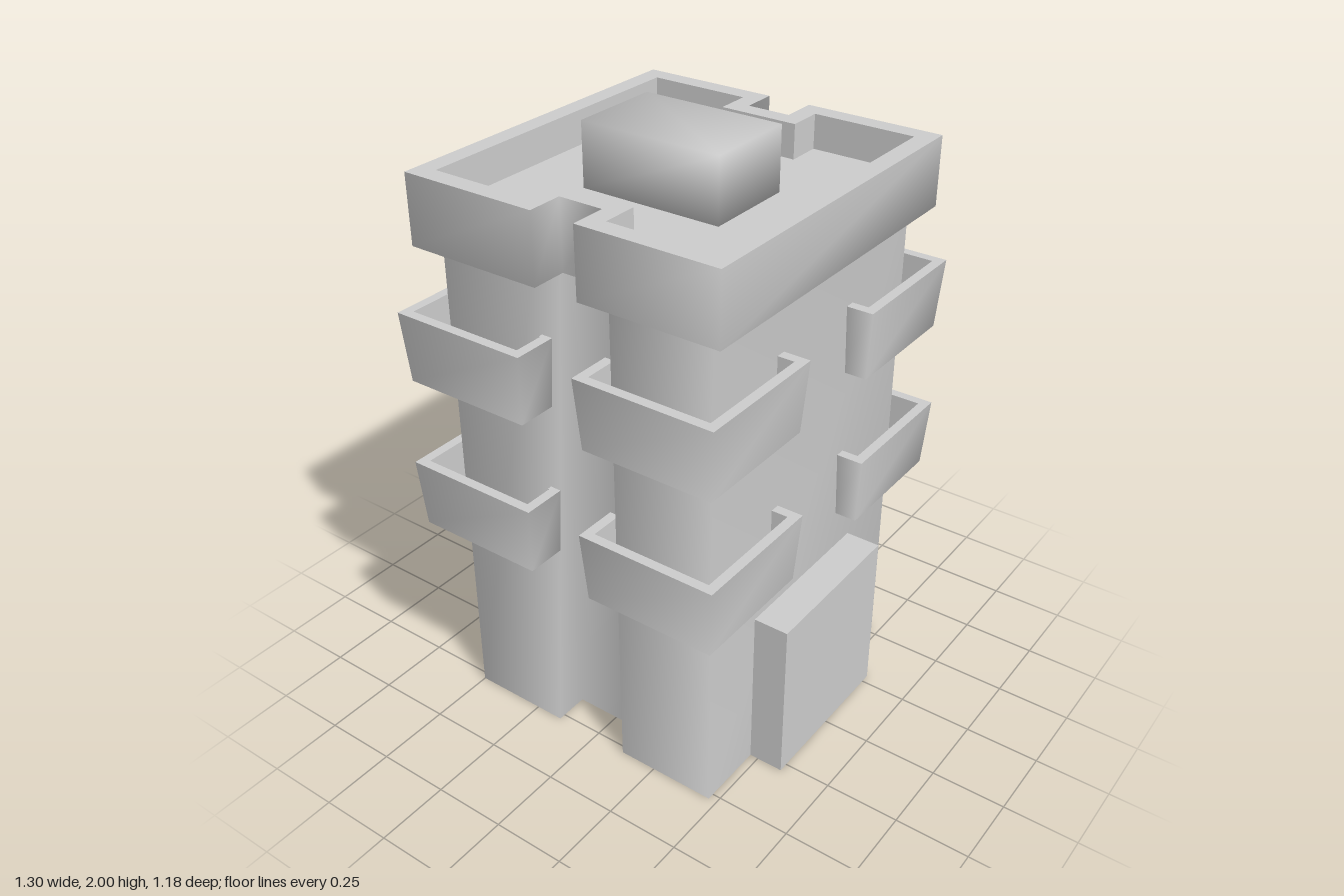
import * as THREE from 'three';
import { mergeVertices } from 'three/addons/utils/BufferGeometryUtils.js';

const material = new THREE.MeshStandardMaterial({ color: 0xcccccc });

// Outlines are [x, z] lists, put in anticlockwise order as seen from above
function ordered(outline) {
  const pts = outline.map(([x, z]) => new THREE.Vector2(x, -z));
  return THREE.ShapeUtils.area(pts) < 0 ? outline.slice().reverse() : outline;
}

// Walls running through rings of [outline, y]; listing them downwards faces the walls inward
function walls(name, rings, smooth = true) {
  const n = rings[0][0].length, pos = [], index = [];
  rings.forEach(([outline, y]) => ordered(outline).forEach(([x, z]) => pos.push(x, y, z)));
  for (let r = 0; r < rings.length - 1; r++) {
    for (let i = 0; i < n; i++) {
      const a = r * n + i, b = r * n + (i + 1) % n;
      index.push(a, b, b + n, a, b + n, a + n);
    }
  }
  let geo = new THREE.BufferGeometry();
  geo.setAttribute('position', new THREE.Float32BufferAttribute(pos, 3));
  geo.setIndex(index);
  if (!smooth) geo = geo.toNonIndexed();
  geo.computeVertexNormals();
  return named(name, geo);
}

// Flat horizontal face, with an optional hole
function cap(name, outline, y, up = true, hole = null) {
  const s = up ? -1 : 1;
  const toPoints = (o) => o.map(([x, z]) => new THREE.Vector2(x, s * z));
  const shape = new THREE.Shape(toPoints(outline));
  if (hole) shape.holes.push(new THREE.Path(toPoints(hole)));
  const geo = new THREE.ShapeGeometry(shape);
  geo.rotateX(s * Math.PI / 2);
  geo.translate(0, y, 0);
  return named(name, geo);
}

function named(name, geo) {
  const mesh = new THREE.Mesh(geo, material);
  mesh.name = name;
  return mesh;
}

// Rectangle with a notch in the middle of each side face
function notched(hx, hz, notchX, notchZ) {
  return [
    [-hx, hz], [hx, hz], [hx, notchZ], [notchX, notchZ], [notchX, -notchZ], [hx, -notchZ],
    [hx, -hz], [-hx, -hz], [-hx, -notchZ], [-notchX, -notchZ], [-notchX, notchZ], [-hx, notchZ],
  ];
}

// L-shaped footprint wrapping one corner; inset moves the outer sides inward
function cornerOutline(sx, sz, inset, backX, backZ) {
  const x0 = 0.175 + inset, x1 = 0.648 - inset, z0 = 0.098 + inset, z1 = 0.575 - inset;
  return [[x0, backZ], [x0, z1], [x1, z1], [x1, z0], [backX, z0], [backX, backZ]]
    .map(([x, z]) => [sx * x, sz * z]);
}

// Flared, open-topped balcony on one corner
function balcony(sx, sz, y0) {
  const group = new THREE.Group();
  group.name = 'cornerBalcony';
  const y1 = y0 + 0.235, floor = y0 + 0.1;
  const top = cornerOutline(sx, sz, 0, 0.5, 0.46);
  const bottom = cornerOutline(sx, sz, 0.015, 0.5, 0.46);
  const inner = cornerOutline(sx, sz, 0.033, 0.515, 0.475);
  group.add(
    walls('balconyOuterWall', [[bottom, y0], [top, y1]]),
    walls('balconyInnerWall', [[inner, y1], [inner, floor]], false),
    cap('balconyRim', top, y1, true, inner),
    cap('balconyFloor', inner, floor),
    cap('balconyUnderside', bottom, y0, false),
  );
  return group;
}

export function createModel() {
  const model = new THREE.Group();
  model.name = 'tower';

  const tower = new THREE.Group();
  tower.name = 'towerBody';
  tower.position.z = -0.015;
  model.add(tower);

  // Shaft and overhanging crown in one softly shaded shell
  const shaft = notched(0.523, 0.486, 0.405, 0.136);
  const crown = notched(0.585, 0.549, 0.465, 0.075);
  const shoulder = 1.675, rim = 1.905, roof = 1.79;
  tower.add(
    walls('towerShell', [[shaft, 0], [shaft, shoulder], [crown, shoulder], [crown, rim]]),
    cap('base', shaft, 0, false),
    cap('crownRim', crown, rim, true, shaft),
    walls('parapetInnerWall', [[shaft, rim], [shaft, roof]], false),
    cap('roof', shaft, roof),
  );

  // Rooftop block with blended normals
  let block = new THREE.BoxGeometry(0.316, 2 - roof, 0.49);
  block.deleteAttribute('normal');
  block.deleteAttribute('uv');
  block = mergeVertices(block);
  block.computeVertexNormals();
  block.translate(-0.003, (2 + roof) / 2, 0);
  tower.add(named('roofBlock', block));

  // Two tiers of corner balconies
  for (const y of [0.71, 1.24]) {
    for (const sx of [-1, 1]) {
      for (const sz of [-1, 1]) tower.add(balcony(sx, sz, y));
    }
  }

  // Door slabs, front and back
  for (const s of [-1, 1]) {
    const door = named(s > 0 ? 'frontDoor' : 'backDoor', new THREE.BoxGeometry(0.566, 0.575, 0.15));
    door.position.set(0, 0.2875, s * 0.515);
    model.add(door);
  }

  return model;
}
